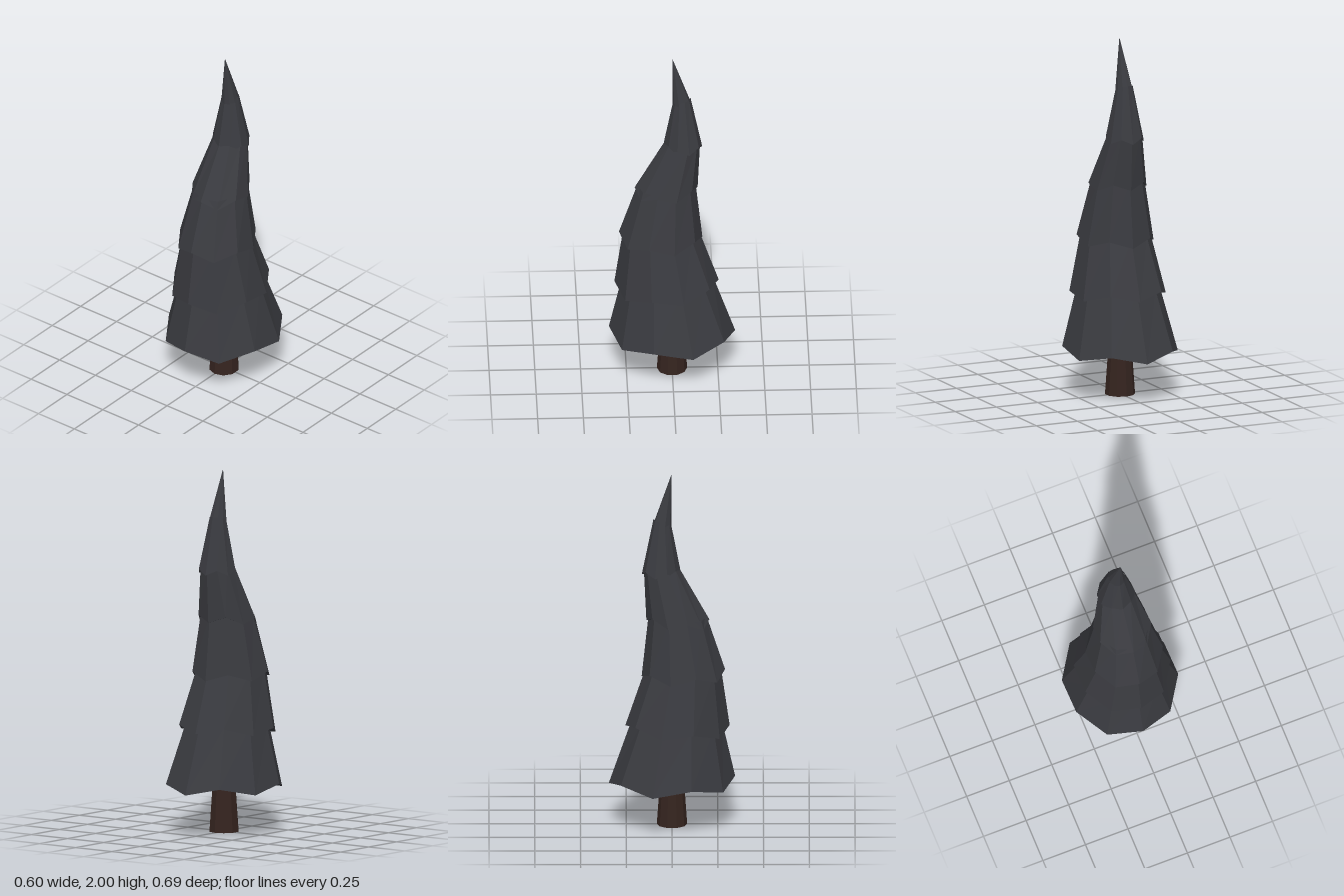
import * as THREE from 'three';

const SIDES = 10;

// Rim of each tier: height, z offset, radii, tilt (height per unit z) and zigzag depth
const TIERS = [
  { y: 0.255, z: 0, rx: 0.315, rz: 0.345, tilt: 0, zig: 0.02, topScale: 0.86 },
  { y: 0.565, z: 0.03, rx: 0.263, rz: 0.285, tilt: -0.06, zig: 0.018, topScale: 0.9 },
  { y: 0.865, z: 0.062, rx: 0.21, rz: 0.228, tilt: 0, zig: 0.02, topScale: 0.92 },
  { y: 1.168, z: 0.032, rx: 0.158, rz: 0.172, tilt: -0.09, zig: 0.018, topScale: 0.9 },
  { y: 1.443, z: -0.06, rx: 0.105, rz: 0.105, tilt: 0, zig: 0.014, topScale: 0.92 },
  { y: 1.705, z: -0.054, rx: 0.05, rz: 0.051, tilt: -0.2, zig: 0.008 },
];
const TIP = new THREE.Vector3(0.005, 2, -0.002);

// Ring of points around a tier's centre
function ring(t, scale, lift, zig) {
  return Array.from({ length: SIDES }, (_, k) => {
    const a = (k / SIDES) * Math.PI * 2;
    const dz = Math.cos(a) * t.rz * scale;
    return new THREE.Vector3(
      Math.sin(a) * t.rx * scale,
      t.y + lift + dz * t.tilt + (k % 2 ? -zig : zig),
      t.z + dz
    );
  });
}

// Skirt of faceted boughs with a closed underside
function tierGeometry(tier, next) {
  const rim = ring(tier, 1, 0, tier.zig);
  const top = next ? ring(next, tier.topScale, 0.03, 0) : null;
  const centre = new THREE.Vector3(0, tier.y, tier.z);
  const points = [];
  for (let k = 0; k < SIDES; k++) {
    const n = (k + 1) % SIDES;
    if (top) points.push(rim[k], rim[n], top[n], rim[k], top[n], top[k]);
    else points.push(rim[k], rim[n], TIP);
    points.push(centre, rim[n], rim[k]);
  }
  const geometry = new THREE.BufferGeometry().setFromPoints(points);
  geometry.computeVertexNormals();
  return geometry;
}

export function createModel() {
  const group = new THREE.Group();
  group.name = 'tree';

  const needles = new THREE.MeshStandardMaterial({ color: 0x3a3b40, flatShading: true });
  needles.name = 'charcoal needles';
  const bark = new THREE.MeshStandardMaterial({ color: 0x35241f, flatShading: true });
  bark.name = 'dark brown bark';

  // Tapered trunk
  const trunk = new THREE.Mesh(new THREE.CylinderGeometry(0.062, 0.083, 0.3, SIDES), bark);
  trunk.name = 'trunk';
  trunk.position.y = 0.15;
  group.add(trunk);

  // Leaning stack of boughs
  TIERS.forEach((tier, i) => {
    const mesh = new THREE.Mesh(tierGeometry(tier, TIERS[i + 1]), needles);
    mesh.name = `boughTier${i + 1}`;
    group.add(mesh);
  });

  return group;
}
